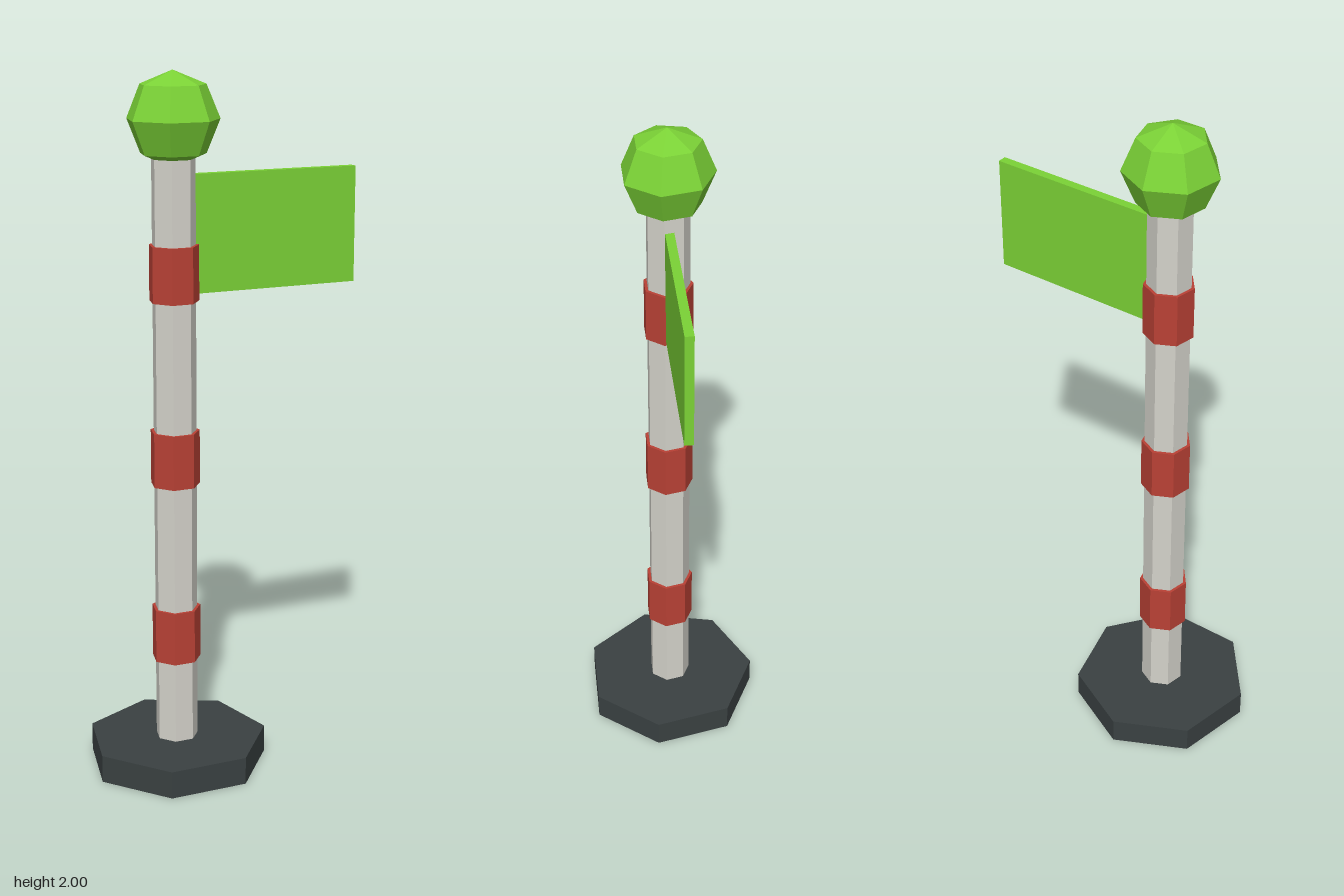
import * as THREE from 'three';

const CX = -0.15, CZ = 0.0125, SIDES = 7;

function flat(name, color) {
  const m = new THREE.MeshStandardMaterial({ color, flatShading: true });
  m.name = name;
  return m;
}

export function createModel() {
  const green = flat('green', 0x7bd236);
  const red = flat('red', 0xb94135);
  const white = flat('offWhite', 0xd4d2ca);
  const dark = flat('darkGrey', 0x3a4142);

  const model = new THREE.Group();
  model.name = 'flagPost';

  function add(name, geometry, material, x, y, z) {
    const mesh = new THREE.Mesh(geometry, material);
    mesh.name = name;
    mesh.position.set(x, y, z);
    model.add(mesh);
    return mesh;
  }

  // Seven-sided prism on the post axis, one corner pointing to the back
  function prism(name, radius, y0, y1, material) {
    const geometry = new THREE.CylinderGeometry(radius, radius, y1 - y0, SIDES);
    geometry.rotateY(Math.PI);
    return add(name, geometry, material, CX, (y0 + y1) / 2, CZ);
  }

  prism('base', 0.2625, 0, 0.08, dark);
  prism('pole', 0.062, 0.08, 1.8, white);

  // Painted bands
  [0.4, 0.924, 1.45].forEach((y, i) => prism('band' + (i + 1), 0.071, y - 0.078, y + 0.078, red));

  // Faceted ball on top
  const ball = new THREE.SphereGeometry(0.131, SIDES, 4);
  ball.rotateY(-Math.PI / 2);
  add('ball', ball, green, CX, 1.869, CZ);

  // Flag board, its inner edge sunk into the pole
  const x0 = -0.1, x1 = 0.403;
  add('flag', new THREE.BoxGeometry(x1 - x0, 0.33, 0.025), green, (x0 + x1) / 2, 1.555, CZ);

  return model;
}
